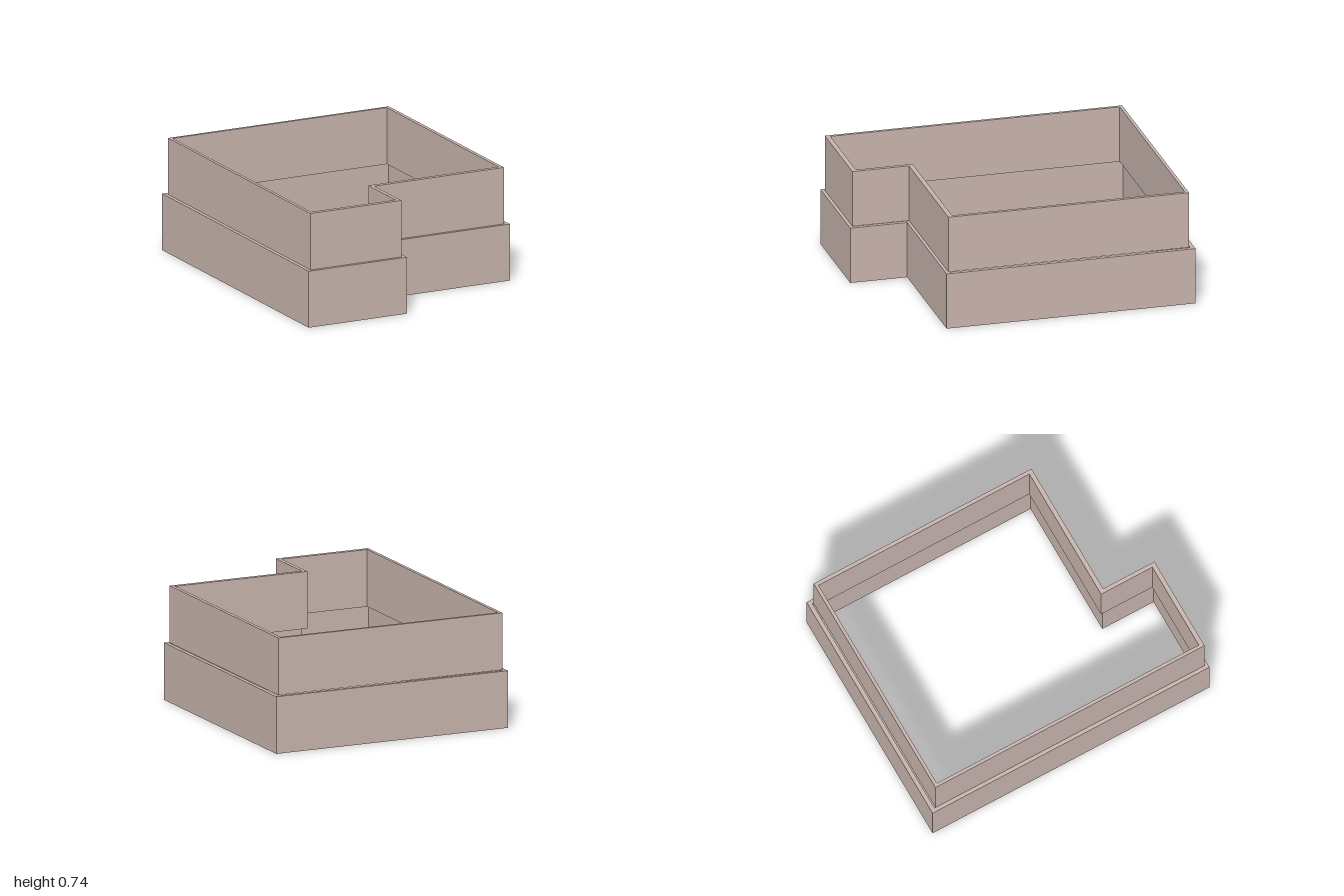
import * as THREE from 'three';

// L-shaped outline; zBack/zFront are the depth limits, (xNotch, zNotch) the inward corner
function outline([xMin, xMax, zBack, zFront, xNotch, zNotch]) {
  return [
    [xMin, zFront], [xNotch, zFront], [xNotch, zNotch],
    [xMax, zNotch], [xMax, zBack], [xMin, zBack],
  ].map(([x, z]) => new THREE.Vector2(x, -z));
}

// Hollow ring of walls between two L outlines, standing on y = base
function wallRing(name, outer, inner, base, height, material) {
  const shape = new THREE.Shape(outline(outer));
  shape.holes.push(new THREE.Path(outline(inner)));
  const geometry = new THREE.ExtrudeGeometry(shape, { depth: height, bevelEnabled: false });
  geometry.rotateX(-Math.PI / 2);
  geometry.translate(0, base, 0);
  const mesh = new THREE.Mesh(geometry, material);
  mesh.name = name;
  return mesh;
}

export function createModel() {
  const model = new THREE.Group();
  model.name = 'steppedWalls';
  const material = new THREE.MeshStandardMaterial({ color: 0xc8b4ad });

  // Wider lower storey
  model.add(wallRing('lowerWalls',
    [-0.812, 0.81, -1, 1, -0.114, 0.628],
    [-0.787, 0.783, -0.973, 0.973, -0.141, 0.603],
    0, 0.37, material));

  // Upper storey, set back from the lower one
  model.add(wallRing('upperWalls',
    [-0.788, 0.779, -0.966, 0.978, -0.143, 0.608],
    [-0.767, 0.755, -0.945, 0.948, -0.169, 0.578],
    0.37, 0.37, material));

  return model;
}
